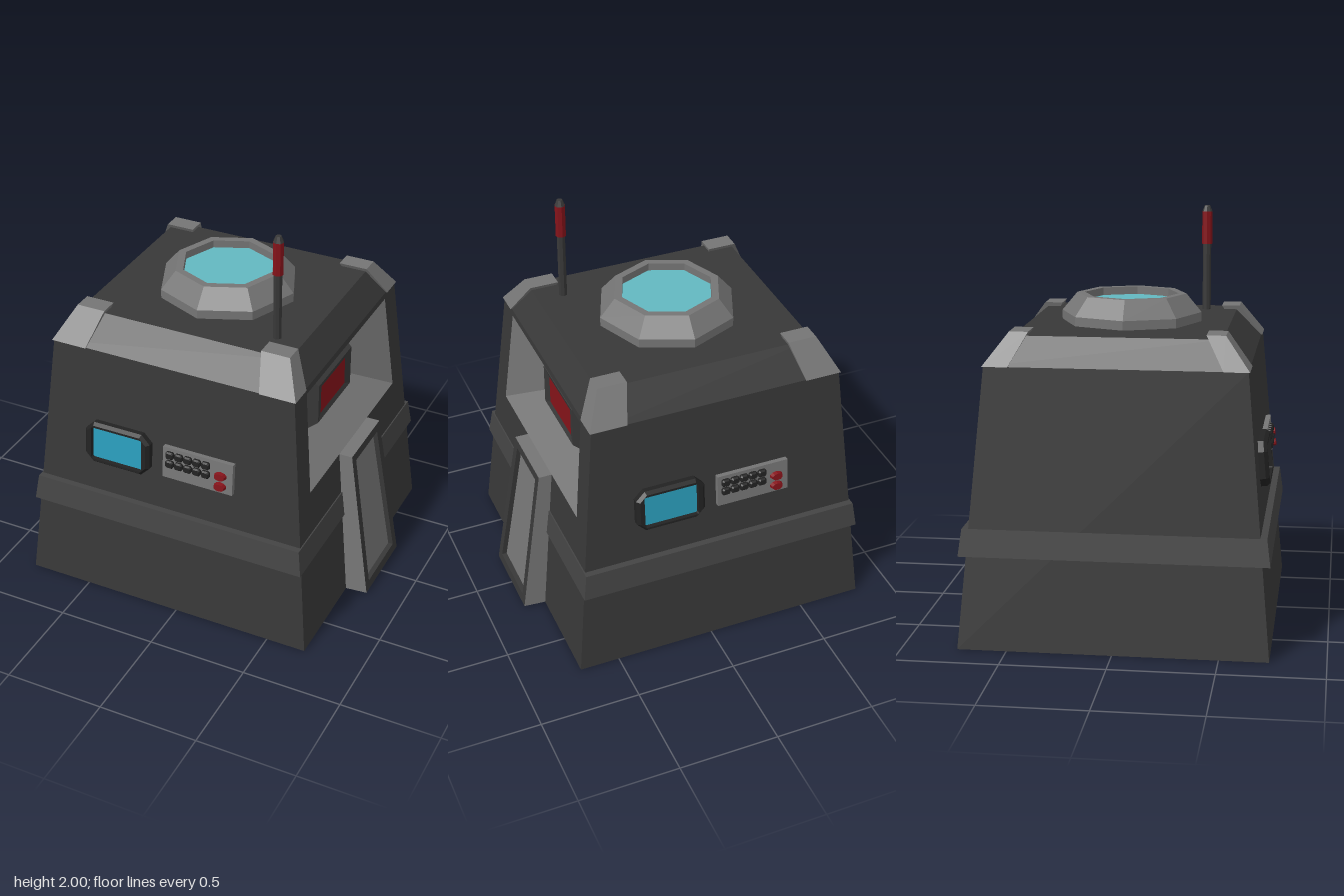
import * as THREE from 'three';

const mat = (color) => new THREE.MeshStandardMaterial({ color, flatShading: true });
const dark = mat(0x383838), band = mat(0x444444), black = mat(0x222222), light = mat(0x757575);
const red = mat(0x85131a), cyan = mat(0x2a9dbb), glass = mat(0x62b8c0);
const CX = -0.06; // the body sits slightly off centre, balancing the ramp

// Joins equal-length loops (counter-clockwise seen from the last one) with flat faces
function loft(loops, { start = false, end = false, skip = -1 } = {}) {
  const pos = [];
  const tri = (...pts) => pts.forEach((p) => pos.push(...p));
  const n = loops[0].length;
  for (let k = 0; k + 1 < loops.length; k++) {
    const a = loops[k], b = loops[k + 1];
    for (let i = 0; i < n; i++) {
      if (i === skip) continue;
      const j = (i + 1) % n;
      tri(a[i], a[j], b[j]);
      tri(a[i], b[j], b[i]);
    }
  }
  const first = loops[0], last = loops[loops.length - 1];
  for (let i = 1; i + 1 < n; i++) {
    if (end) tri(last[0], last[i], last[i + 1]);
    if (start) tri(first[0], first[i + 1], first[i]);
  }
  const g = new THREE.BufferGeometry();
  g.setAttribute('position', new THREE.Float32BufferAttribute(pos, 3));
  g.computeVertexNormals();
  return g;
}

function add(parent, name, geometry, material, x = 0, y = 0, z = 0) {
  const m = new THREE.Mesh(geometry, material);
  m.name = name;
  m.position.set(x, y, z);
  parent.add(m);
  return m;
}

// Horizontal rectangle from x0..x1 and z0..z1
const flat = (y, x0, x1, z0, z1) => [[x1, y, z1], [x1, y, z0], [x0, y, z0], [x0, y, z1]];
const centred = (y, hx, hz) => flat(y, CX - hx, CX + hx, -hz, hz);
// Trapezoid facing +x, with its own x and half width at the low and high edge
const facing = (y0, x0, h0, y1, x1, h1) => [[x0, y0, h0], [x0, y0, -h0], [x1, y1, -h1], [x1, y1, h1]];
// Rectangle facing +z with cut corners
const cut = (w, h, c, z) => [
  [w - c, -h, z], [w, c - h, z], [w, h - c, z], [w - c, h, z],
  [c - w, h, z], [-w, h - c, z], [-w, c - h, z], [c - w, -h, z],
];
// Octagon facing up
const octagon = (y, r) => Array.from({ length: 8 }, (_, i) => {
  const a = (i * Math.PI) / 4;
  return [r * Math.cos(a), y, -r * Math.sin(a)];
});

// Screen and keypad lying on a sloping wall
function wallControls() {
  const side = new THREE.Group();
  side.name = 'wallControls';
  const wall = new THREE.Group();
  wall.name = 'controlsOnWall';
  wall.position.set(0, 0.855, 0.658);
  wall.rotation.x = -0.09;
  side.add(wall);

  add(wall, 'screenFrame', loft([
    cut(0.175, 0.11, 0.045, -0.01), cut(0.175, 0.11, 0.045, 0.028), cut(0.16, 0.097, 0.035, 0.045),
    cut(0.138, 0.086, 0.006, 0.045), cut(0.135, 0.083, 0.006, 0.025),
  ]), black, -0.265);
  add(wall, 'screen', loft([cut(0.137, 0.085, 0.006, 0.026)], { end: true }), cyan, -0.265);

  add(wall, 'keypadPlate', new THREE.BoxGeometry(0.37, 0.165, 0.04), light, 0.165, -0.003, 0.005);
  const key = loft([cut(0.021, 0.019, 0.007, 0), cut(0.021, 0.019, 0.007, 0.012), cut(0.015, 0.013, 0.005, 0.02)], { end: true });
  for (let row = 0; row < 2; row++) {
    for (let i = 0; i < 5; i++) add(wall, 'key', key, black, 0.02 + i * 0.0476, 0.043 - row * 0.048, 0.024);
  }
  const knob = new THREE.CylinderGeometry(0.027, 0.034, 0.025, 10).rotateX(Math.PI / 2).scale(1, 0.68, 1);
  for (const y of [0.006, -0.05]) add(wall, 'redButton', knob, red, 0.288, y, 0.033);
  return side;
}

export function createModel() {
  const root = new THREE.Group();
  root.name = 'bunker';

  // Tapered body; the +x wall is left out and rebuilt around its recess
  const base = centred(0, 0.76, 0.735), shoulder = centred(1.335, 0.63, 0.615);
  add(root, 'bodyWalls', loft([base, shoulder], { skip: 0 }), dark);
  add(root, 'roof', loft([shoulder, centred(1.47, 0.545, 0.49)], { end: true }), dark);
  add(root, 'floor', loft([base], { start: true }), dark);
  const wallX = (y) => 0.7 - 0.0974 * y;
  const opening = facing(0.79, wallX(0.79), 0.53, 1.305, wallX(1.305), 0.485);
  add(root, 'recessedWall', loft([facing(0, 0.7, 0.735, 1.335, 0.57, 0.615), opening]), dark);

  // Funnel-shaped recess with a red window in a raised frame
  add(root, 'recess', loft([opening, facing(0.945, 0.43, 0.295, 1.165, 0.43, 0.295)], { end: true }), light);
  add(root, 'windowFrame', loft([
    facing(0.915, 0.42, 0.22, 1.205, 0.42, 0.22), facing(0.915, 0.46, 0.22, 1.205, 0.46, 0.22),
    facing(0.955, 0.515, 0.2, 1.165, 0.515, 0.2), facing(0.98, 0.505, 0.148, 1.13, 0.505, 0.148),
  ]), dark);
  add(root, 'redWindow', loft([facing(0.98, 0.505, 0.148, 1.13, 0.505, 0.148)], { end: true }), red);

  // Belt around the body
  add(root, 'belt', loft([
    centred(0.445, 0.69, 0.67), centred(0.445, 0.728, 0.732), centred(0.575, 0.71, 0.715), centred(0.575, 0.68, 0.66),
  ]), band);

  // Sloping slab below the recess, with a sunken panel
  const slabFront = facing(0.01, 0.812, 0.21, 0.79, 0.69, 0.178);
  const rim = facing(0.055, 0.805, 0.165, 0.75, 0.696, 0.137);
  const panel = facing(0.055, 0.78, 0.165, 0.75, 0.671, 0.137);
  add(root, 'slabSides', loft([facing(0, 0.69, 0.21, 0.79, 0.61, 0.178), slabFront], { start: true }), light);
  add(root, 'slabRim', loft([slabFront, rim, panel]), dark);
  add(root, 'slabPanel', loft([panel], { end: true }), light);

  // Guards on the four roof corners
  for (const sx of [-1, 1]) {
    for (const sz of [-1, 1]) {
      const ring = (y, xi, xo, zi, zo) => flat(y,
        CX + Math.min(sx * xi, sx * xo), CX + Math.max(sx * xi, sx * xo),
        Math.min(sz * zi, sz * zo), Math.max(sz * zi, sz * zo));
      add(root, 'cornerGuard', loft([
        ring(1.335, 0.455, 0.638, 0.5, 0.622), ring(1.49, 0.41, 0.555, 0.415, 0.505),
      ], { start: true, end: true }), light);
    }
  }

  // Octagonal skylight
  add(root, 'skylightRing', loft([
    octagon(1.46, 0.345), octagon(1.515, 0.345), octagon(1.605, 0.27), octagon(1.605, 0.232), octagon(1.565, 0.232),
  ]), light, CX);
  add(root, 'skylightGlass', loft([octagon(1.567, 0.232)], { end: true }), glass, CX);

  // Antenna with a red lamp
  const antenna = new THREE.Group();
  antenna.name = 'antenna';
  antenna.position.set(0.353, 0, 0.335);
  root.add(antenna);
  add(antenna, 'mast', new THREE.CylinderGeometry(0.021, 0.021, 0.36, 8), dark, 0, 1.63);
  add(antenna, 'lamp', new THREE.CylinderGeometry(0.026, 0.026, 0.165, 8), red, 0, 1.888);
  add(antenna, 'lampCap', new THREE.CylinderGeometry(0.014, 0.026, 0.03, 8), dark, 0, 1.985);

  // Identical controls on the front and back walls
  for (const turn of [0, Math.PI]) {
    const controls = wallControls();
    controls.position.x = CX;
    controls.rotation.y = turn;
    root.add(controls);
  }
  return root;
}
